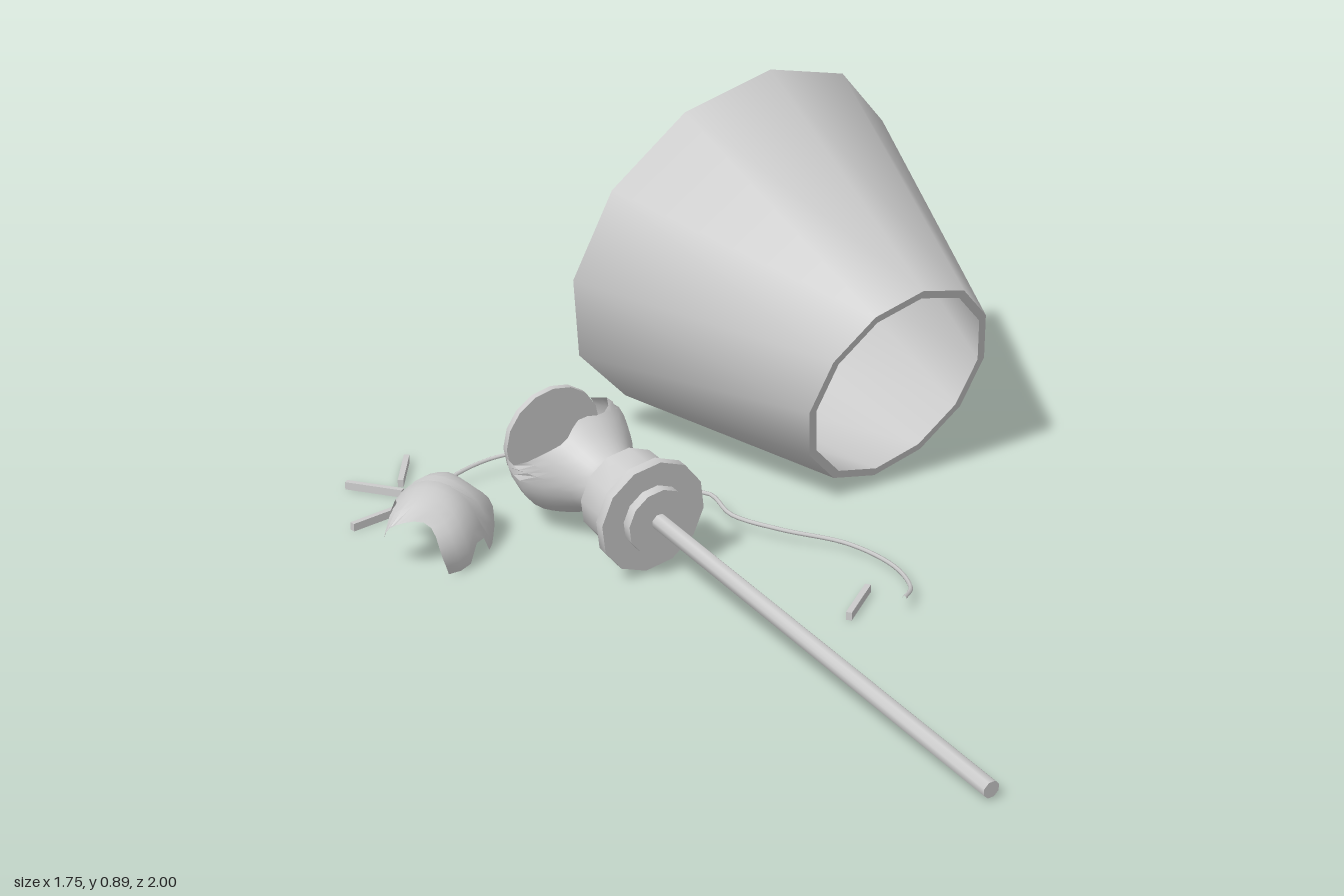
import * as THREE from 'three';
import { toCreasedNormals } from 'three/addons/utils/BufferGeometryUtils.js';

const V = (x, y, z) => new THREE.Vector3(x, y, z);
const mat = new THREE.MeshStandardMaterial({ color: 0xcccccc });
const matThin = new THREE.MeshStandardMaterial({ color: 0xcccccc, side: THREE.DoubleSide });

function add(parent, name, geometry, material = mat) {
  const mesh = new THREE.Mesh(geometry, material);
  mesh.name = name;
  parent.add(mesh);
  return mesh;
}

// Places a group so that its +y runs along an axis and its +z leans toward a hint direction
function axisGroup(parent, name, origin, axis, hint) {
  const g = new THREE.Group();
  g.name = name;
  const y = axis.clone().normalize();
  const z = hint.clone().addScaledVector(y, -hint.dot(y)).normalize();
  const x = new THREE.Vector3().crossVectors(y, z);
  g.quaternion.setFromRotationMatrix(new THREE.Matrix4().makeBasis(x, y, z));
  g.position.copy(origin);
  parent.add(g);
  return g;
}

// Closed cylinder between two heights along y
function disc(parent, name, r, y0, y1, sides = 12) {
  const geo = new THREE.CylinderGeometry(r, r, y1 - y0, sides);
  return add(parent, name, toCreasedNormals(geo.translate(0, (y0 + y1) / 2, 0), 0.9));
}

// Radius of the bulbous lamp body at distance t along its axis
const profile = [[0.1, 0.066], [0.15, 0.068], [0.2, 0.088], [0.26, 0.122], [0.31, 0.142], [0.36, 0.138], [0.4, 0.12]];
function bodyRadius(t) {
  let i = 0;
  while (i < profile.length - 2 && t > profile[i + 1][0]) i++;
  const [t0, r0] = profile[i], [t1, r1] = profile[i + 1];
  return THREE.MathUtils.lerp(r0, r1, (t - t0) / (t1 - t0));
}

export function createModel() {
  const model = new THREE.Group();
  model.name = 'brokenLamp';

  // Fallen shade: twelve-sided hollow cone resting on its side
  const big = V(-0.185, 0.443, -0.62), small = V(0.315, 0.26, -0.3);
  const length = big.distanceTo(small), wall = 0.02;
  const shade = axisGroup(model, 'shadeGroup', big, small.clone().sub(big), V(0, 1, 0));
  const ring = [[0.463, 0], [0.26, length], [0.26 - wall, length], [0.463 - wall, 0], [0.463, 0]];
  const shadeGeo = new THREE.LatheGeometry(ring.map(([r, y]) => new THREE.Vector2(r, y)), 12);
  add(shade, 'shade', toCreasedNormals(shadeGeo, 0.8));

  // Lamp stand: pole, socket and broken body share one axis; +z points into the break
  const stand = axisGroup(model, 'lampStand', V(-0.065, 0.14, 0.28), V(-0.797, 0.1, -0.597), V(-0.25, 0.91, 0.34));
  disc(stand, 'pole', 0.019, -1.17, -0.02, 8);
  disc(stand, 'poleCollar', 0.076, -0.035, -0.01);
  disc(stand, 'flange', 0.13, -0.012, 0.012);
  disc(stand, 'socket', 0.108, 0.01, 0.108);
  disc(stand, 'bodyBottom', 0.12, 0.395, 0.41, 16);

  // Body shell: revolved surface cut short where it has broken away
  const rows = 10, cols = 32, gap = 1.35;
  const flat = Array.from({ length: rows + 1 }, (_, i) => new THREE.Vector2(1, i / rows));
  const body = new THREE.LatheGeometry(flat, cols, -Math.PI);
  const p = body.attributes.position;
  for (let i = 0; i < p.count; i++) {
    const phi = Math.atan2(p.getX(i), p.getZ(i));
    const a = Math.abs(phi) / gap;
    const end = a < 1 ? 0.245 + 0.15 * a ** 4 + 0.012 * Math.sin(phi * 5) * (1 - a) : 0.4;
    const t = THREE.MathUtils.lerp(0.1, end, p.getY(i));
    const r = bodyRadius(t);
    p.setXYZ(i, r * Math.sin(phi), t, r * Math.cos(phi));
  }
  add(stand, 'brokenBody', toCreasedNormals(body, 0.8), matThin);

  // Curved shard: an arch of shell with uneven edges, lying next to the body
  const shard = new THREE.PlaneGeometry(1, 1, 12, 8);
  const q = shard.attributes.position;
  for (let i = 0; i < q.count; i++) {
    const u = q.getX(i) + 0.5, v = q.getY(i) * 2;
    const start = -0.12 + 0.35 * Math.max(0, Math.sin(v * 4 + 1));
    const stop = 2.75 - 0.6 * Math.abs(Math.sin(v * 3));
    const ang = THREE.MathUtils.lerp(start, stop, u);
    const bulge = Math.sqrt(1 - 0.5 * v * v);
    const z = 0.315 + v * (0.125 + 0.014 * Math.sin(ang * 4));
    q.setXYZ(i, -0.55 + 0.115 * bulge * Math.cos(ang), 0.018 + 0.145 * bulge * Math.sin(ang), z);
  }
  add(model, 'bodyShard', toCreasedNormals(shard, 0.8), matThin);

  // Loose electric cord
  const cord = new THREE.CatmullRomCurve3([
    V(-0.63, 0.02, 0.155), V(-0.645, 0.03, 0.05), V(-0.58, 0.045, -0.08), V(-0.48, 0.06, -0.12),
    V(-0.33, 0.055, -0.085), V(-0.17, 0.03, -0.035), V(-0.06, 0.04, -0.068), V(0.03, 0.035, 0.015),
    V(0.15, 0.03, 0.04), V(0.3, 0.02, 0.04), V(0.42, 0.015, 0.1), V(0.49, 0.02, 0.2), V(0.5, 0.035, 0.285),
  ]);
  add(model, 'cord', new THREE.TubeGeometry(cord, 70, 0.005, 6));

  // Scattered splinters: centre x, centre z, turn about y
  const splinters = [[-0.778, -0.022, 0.32], [-0.8, 0.09, Math.PI / 2], [-0.73, 0.228, -0.48], [0.4, 0.283, 0]];
  for (const [x, z, turn] of splinters) {
    const splinter = add(model, 'splinter', new THREE.BoxGeometry(0.013, 0.018, 0.14));
    splinter.position.set(x, 0.009, z);
    splinter.rotation.y = turn;
  }
  return model;
}
